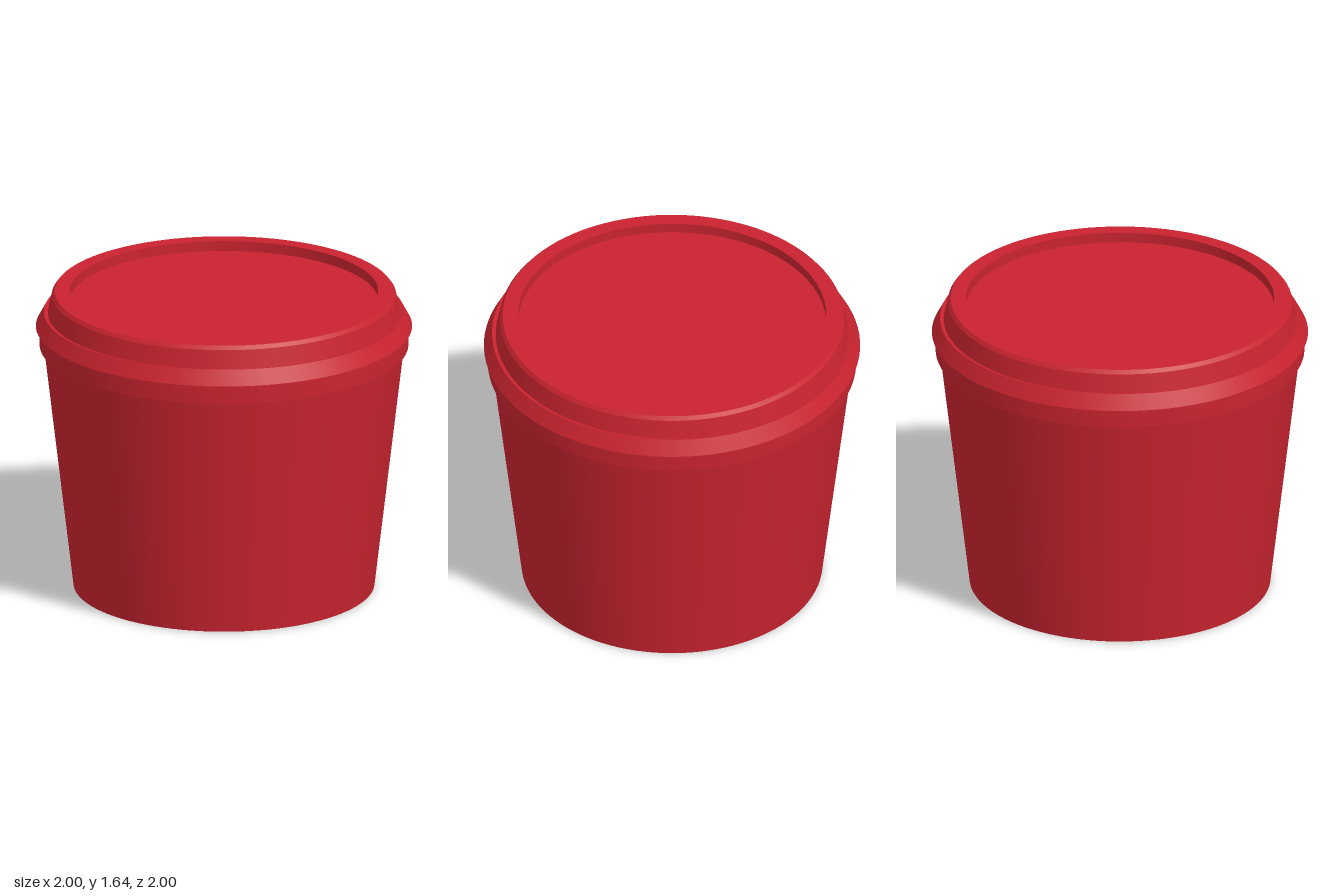
import * as THREE from 'three';
import { mergeGeometries } from 'three/addons/utils/BufferGeometryUtils.js';

const SEGMENTS = 96;

// Turns a profile (bottom to top, outside to the right) with a crisp edge at every point
function turned(profile) {
  const bands = [];
  for (let i = 0; i < profile.length - 1; i++) {
    const pair = [profile[i], profile[i + 1]].map(([r, y]) => new THREE.Vector2(r, y));
    bands.push(new THREE.LatheGeometry(pair, SEGMENTS));
  }
  return mergeGeometries(bands);
}

export function createModel() {
  const model = new THREE.Group();
  model.name = 'tub';

  const red = new THREE.MeshStandardMaterial({ color: 0xc9232f });
  red.name = 'red plastic';

  function add(name, profile) {
    const mesh = new THREE.Mesh(turned(profile), red);
    mesh.name = name;
    model.add(mesh);
  }

  // Tapered body with a recessed base inside a foot ring
  add('body', [
    [0, 0.06], [0.745, 0.06], [0.745, 0], [0.8, 0], [0.962, 1.38],
  ]);

  // Straight collar below the lid
  add('collar', [
    [0.94, 1.34], [0.98, 1.34], [0.98, 1.45],
  ]);

  // Lid: flared skirt, ledge, raised rim and sunken panel
  add('lid', [
    [0.96, 1.445], [1.0, 1.445], [0.957, 1.525], [0.937, 1.52], [0.915, 1.62],
    [0.9, 1.64], [0.82, 1.64], [0.82, 1.585], [0, 1.585],
  ]);

  return model;
}
